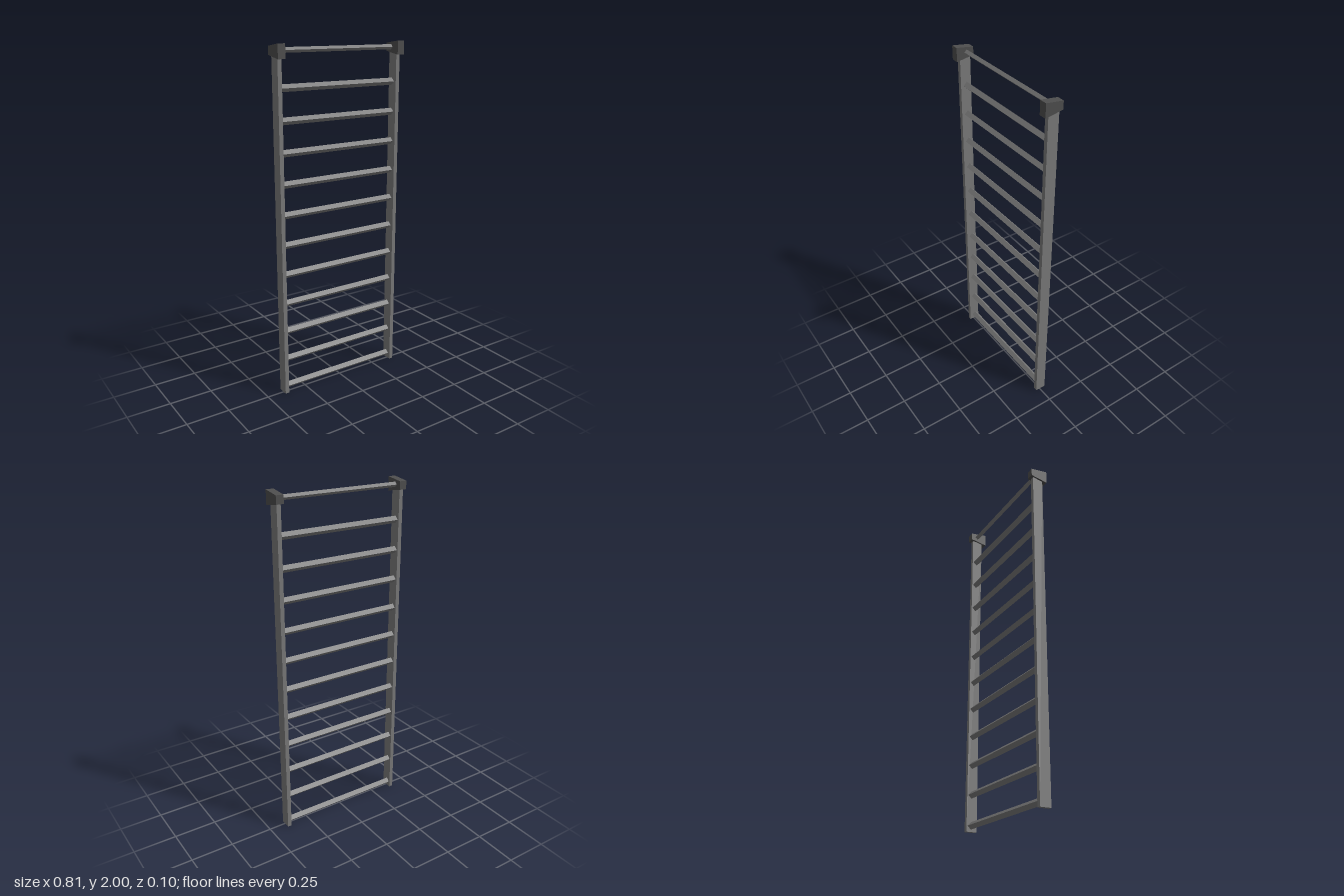
import * as THREE from 'three';

export function createModel() {
  const ladder = new THREE.Group();
  ladder.name = 'wallLadder';
  const metal = new THREE.MeshStandardMaterial({ color: 0x787878 });
  metal.name = 'grey metal';
  const dark = new THREE.MeshStandardMaterial({ color: 0x4d4d4d });
  dark.name = 'dark grey cap';

  const add = (name, geometry, material, x, y, z) => {
    const mesh = new THREE.Mesh(geometry, material);
    mesh.name = name;
    mesh.position.set(x, y, z);
    ladder.add(mesh);
    return mesh;
  };

  // Cap: box whose back end is lower at the top and higher at the bottom
  const capGeometry = new THREE.BoxGeometry(0.044, 0.078, 0.103);
  const pos = capGeometry.attributes.position;
  for (let i = 0; i < pos.count; i++) {
    if (pos.getZ(i) < 0) pos.setY(i, pos.getY(i) > 0 ? 0.024 : -0.022);
  }
  const cap = capGeometry.toNonIndexed();
  cap.computeVertexNormals();

  // Side rails with their caps
  const rail = new THREE.BoxGeometry(0.024, 1.96, 0.064);
  for (const [side, label] of [[1, 'left'], [-1, 'right']]) {
    add(label + 'Rail', rail, metal, side * 0.385, 0.98, -0.006);
    add(label + 'Cap', cap, dark, side * 0.385, 1.961, -0.001);
  }

  // Square bars set on edge
  const bar = (radius) => {
    const g = new THREE.CylinderGeometry(radius, radius, 0.76, 4).toNonIndexed();
    g.rotateZ(Math.PI / 2);
    g.computeVertexNormals();
    return g;
  };
  const rung = bar(0.0205);
  for (let i = 0; i < 11; i++) {
    add('rung' + (i + 1), rung, metal, 0, 0.034 + i * 0.1736, -0.011);
  }
  add('topBar', bar(0.0145), metal, 0, 1.964, -0.011);

  return ladder;
}
